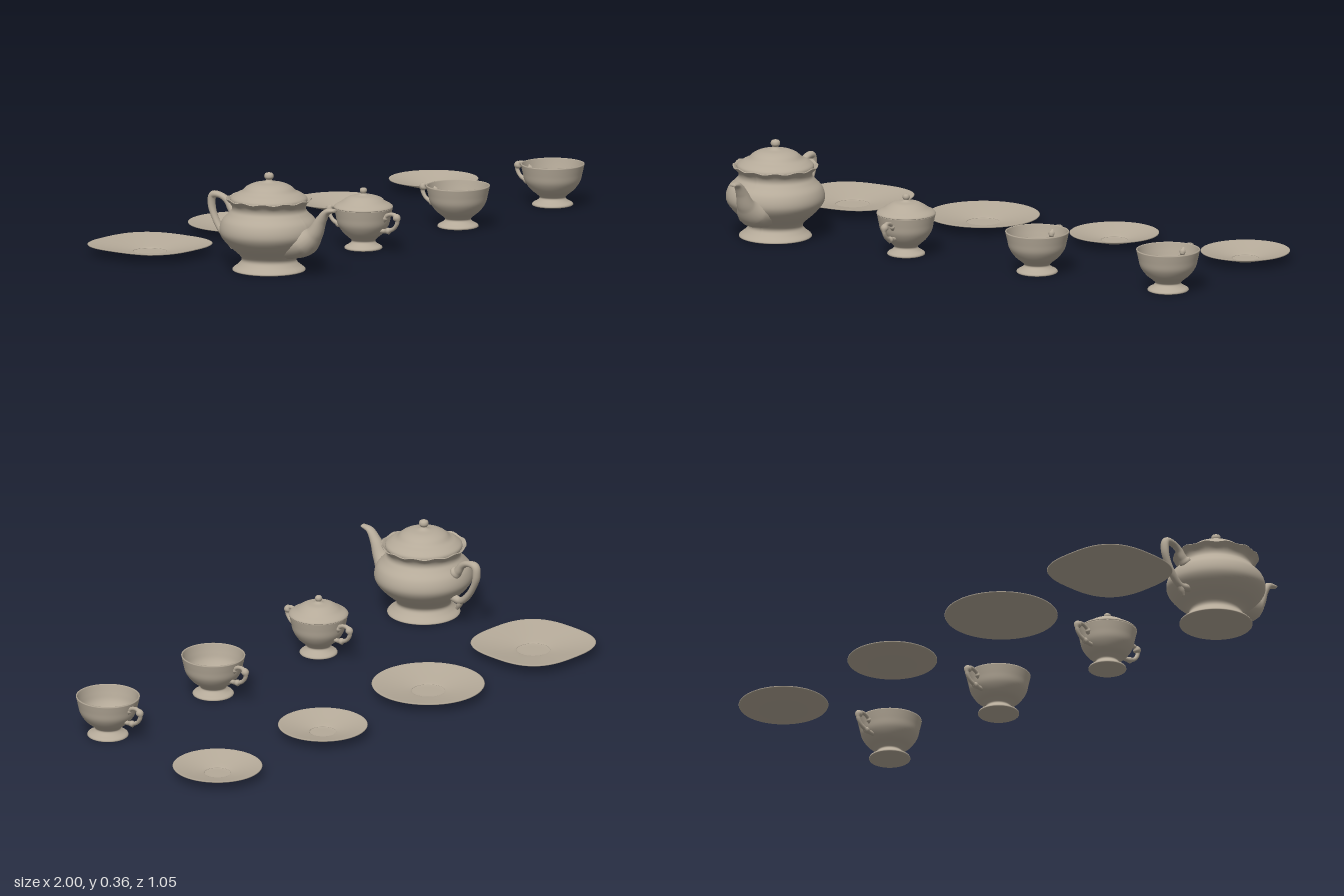
import * as THREE from 'three';

const porcelain = new THREE.MeshStandardMaterial({ color: 0xb5aa99 });
porcelain.name = 'warm grey porcelain';

function part(name, geometry) {
  const mesh = new THREE.Mesh(geometry, porcelain);
  mesh.name = name;
  return mesh;
}

// Revolve a profile made of smooth runs of [radius, height]; runs join at corners
function turned(runs, segments = 64) {
  const points = [];
  for (const run of runs) {
    const pts = run.map(([r, y]) => new THREE.Vector2(r, y));
    const line = pts.length > 2 ? new THREE.SplineCurve(pts).getPoints(pts.length * 5) : pts;
    for (const p of line) {
      p.x = Math.max(p.x, 0);
      if (!points.length || points[points.length - 1].distanceTo(p) > 1e-5) points.push(p);
    }
  }
  return new THREE.LatheGeometry(points, segments);
}

// Tapered tube in the x = 0 plane through [z, y, radius, half width]
function sweep(path, steps = 48, sides = 16) {
  const centre = new THREE.CatmullRomCurve3(path.map(([z, y]) => new THREE.Vector3(0, y, z)));
  const size = new THREE.CatmullRomCurve3(path.map(([, , r, w = r]) => new THREE.Vector3(r, w, 0)));
  const pos = [], index = [];
  for (let i = -1; i <= steps + 1; i++) {
    const t = Math.min(Math.max(i / steps, 0), 1);
    const c = centre.getPoint(t), d = centre.getTangent(t), s = size.getPoint(t);
    const k = i < 0 || i > steps ? 0.001 : 1; // closed ends
    for (let j = 0; j < sides; j++) {
      const a = (j / sides) * Math.PI * 2;
      const n = Math.sin(a) * s.x * k;
      pos.push(Math.cos(a) * s.y * k, c.y + d.z * n, c.z - d.y * n);
    }
  }
  for (let i = 0; i < steps + 2; i++) {
    for (let j = 0; j < sides; j++) {
      const a = i * sides + j, b = i * sides + ((j + 1) % sides);
      index.push(a, b, a + sides, b, b + sides, a + sides);
    }
  }
  const g = new THREE.BufferGeometry();
  g.setAttribute('position', new THREE.Float32BufferAttribute(pos, 3));
  g.setIndex(index);
  g.computeVertexNormals();
  return g;
}

// Move each vertex by a rule
function reshape(g, rule) {
  const p = g.attributes.position, v = new THREE.Vector3();
  for (let i = 0; i < p.count; i++) {
    rule(v.fromBufferAttribute(p, i));
    p.setXYZ(i, v.x, v.y, v.z);
  }
  g.computeVertexNormals();
  return g;
}

function makeTeapot() {
  const g = new THREE.Group();
  g.name = 'teapot';
  const body = turned([
    [[0, 0.006], [0.122, 0.004]],
    [[0.122, 0.004], [0.131, 0.007], [0.128, 0.014], [0.11, 0.028], [0.098, 0.045], [0.108, 0.064],
      [0.145, 0.097], [0.172, 0.13], [0.178, 0.157], [0.168, 0.188], [0.145, 0.212], [0.133, 0.228],
      [0.136, 0.246], [0.154, 0.266]],
    [[0.154, 0.266], [0.15, 0.268], [0.134, 0.254], [0.12, 0.25]],
  ]);
  // gently waved lip
  reshape(body, (v) => {
    const w = THREE.MathUtils.smoothstep(v.y, 0.235, 0.266);
    v.y += 0.003 * w * Math.cos(12 * Math.atan2(v.x, v.z));
  });
  g.add(part('teapotBody', body));
  g.add(part('teapotLid', turned([
    [[0.136, 0.256], [0.139, 0.262], [0.135, 0.272], [0.118, 0.284], [0.098, 0.294], [0.08, 0.31],
      [0.055, 0.321], [0.025, 0.326], [0.013, 0.332], [0.011, 0.336]],
    [[0.011, 0.336], [0.017, 0.345], [0.014, 0.357], [0, 0.362]],
  ])));
  g.add(part('spout', sweep([
    [0.09, 0.11, 0.055, 0.075], [0.167, 0.127, 0.05, 0.058], [0.208, 0.16, 0.031, 0.034],
    [0.238, 0.212, 0.02, 0.022], [0.267, 0.247, 0.012, 0.016], [0.303, 0.255, 0.006, 0.012],
  ])));
  g.add(part('teapotHandle', sweep([
    [-0.14, 0.19, 0.016], [-0.168, 0.208, 0.016], [-0.19, 0.236, 0.013], [-0.22, 0.252, 0.011, 0.014],
    [-0.257, 0.25, 0.014, 0.016], [-0.262, 0.213, 0.013, 0.016], [-0.246, 0.168, 0.011, 0.014],
    [-0.214, 0.122, 0.012, 0.014], [-0.182, 0.099, 0.013], [-0.135, 0.105, 0.016],
  ], 64)));
  g.add(part('teapotHandleCurl', sweep([
    [-0.195, 0.108, 0.009], [-0.178, 0.085, 0.011], [-0.166, 0.064, 0.006],
  ], 16)));
  return g;
}

// Footed hollow bowl shared by the cups and the sugar bowl
function makeBowl(name, s) {
  return part(name, turned([
    [[0, 0.008], [0.068, 0.004]],
    [[0.068, 0.004], [0.074, 0.007], [0.071, 0.014], [0.055, 0.023], [0.046, 0.034], [0.057, 0.046],
      [0.08, 0.065], [0.1, 0.094], [0.108, 0.125], [0.115, 0.156]],
    [[0.115, 0.156], [0.111, 0.157]],
    [[0.111, 0.157], [0.104, 0.125], [0.095, 0.096], [0.073, 0.068], [0.045, 0.052], [0, 0.048]],
  ].map((run) => run.map(([r, y]) => [r * s, y]))));
}

// Small ear-shaped handle with a curl, on the -z side
function makeHandle(name, shift = 0) {
  const g = new THREE.Group();
  g.name = name;
  g.add(part('handleLoop', sweep([
    [-0.098, 0.115, 0.008], [-0.108, 0.132, 0.008], [-0.128, 0.142, 0.007], [-0.15, 0.141, 0.008],
    [-0.162, 0.122, 0.008], [-0.15, 0.097, 0.007], [-0.128, 0.084, 0.008], [-0.105, 0.079, 0.008],
    [-0.082, 0.078, 0.008],
  ], 40, 12)));
  g.add(part('handleCurl', sweep([
    [-0.136, 0.09, 0.005], [-0.126, 0.079, 0.006], [-0.121, 0.07, 0.003],
  ], 10, 10)));
  g.position.z = shift;
  return g;
}

function makeCup() {
  const g = new THREE.Group();
  g.name = 'cup';
  g.add(makeBowl('cupBowl', 1), makeHandle('cupHandle'));
  return g;
}

function makeSugarBowl() {
  const g = new THREE.Group();
  g.name = 'sugarBowl';
  g.add(makeBowl('sugarBowlBody', 0.92));
  g.add(part('sugarBowlLid', turned([
    [[0.1, 0.153], [0.107, 0.157], [0.1, 0.165], [0.082, 0.175], [0.066, 0.186], [0.046, 0.196],
      [0.02, 0.2], [0.009, 0.206]],
    [[0.009, 0.206], [0.013, 0.215], [0.01, 0.224], [0, 0.227]],
  ])));
  const back = makeHandle('backHandle', 0.006);
  const front = makeHandle('frontHandle', -0.006);
  front.rotation.y = Math.PI;
  g.add(back, front);
  return g;
}

// Shallow flared plate; a power above 2 squares the outline
function makePlate(name, radius, power = 2) {
  const s = radius / 0.205;
  const g = turned([
    [[0, 0.004], [0.055, 0.004]],
    [[0.055, 0.004], [0.203, 0.036]],
    [[0.203, 0.036], [0.205, 0.039]],
    [[0.205, 0.039], [0.202, 0.0405]],
    [[0.202, 0.0405], [0.13, 0.026], [0.066, 0.0135], [0.056, 0.0095], [0, 0.009]],
  ].map((run) => run.map(([r, y]) => [r * s, y])), 96);
  if (power > 2) {
    reshape(g, (v) => {
      const r = Math.hypot(v.x, v.z);
      if (r < 1e-6) return;
      const f = (Math.abs(v.x / r) ** power + Math.abs(v.z / r) ** power) ** (-1 / power);
      const k = 1 + (f - 1) * THREE.MathUtils.smoothstep(r / radius, 0.2, 1);
      v.x *= k;
      v.z *= k;
    });
  }
  return part(name, g);
}

export function createModel() {
  const model = new THREE.Group();
  model.name = 'teaSet';
  const place = (object, x, z) => {
    object.position.set(x, -0.004, z);
    model.add(object);
  };
  const front = 0.222, back = -0.323;
  place(makeTeapot(), -0.797, front);
  place(makeSugarBowl(), -0.253, front);
  place(makePlate('squarePlate', 0.204, 2.8), -0.797, back);
  place(makePlate('roundPlate', 0.203), -0.253, back);
  for (const x of [0.292, 0.837]) {
    place(makeCup(), x, front);
    place(makePlate('saucer', 0.161), x, back);
  }
  return model;
}
